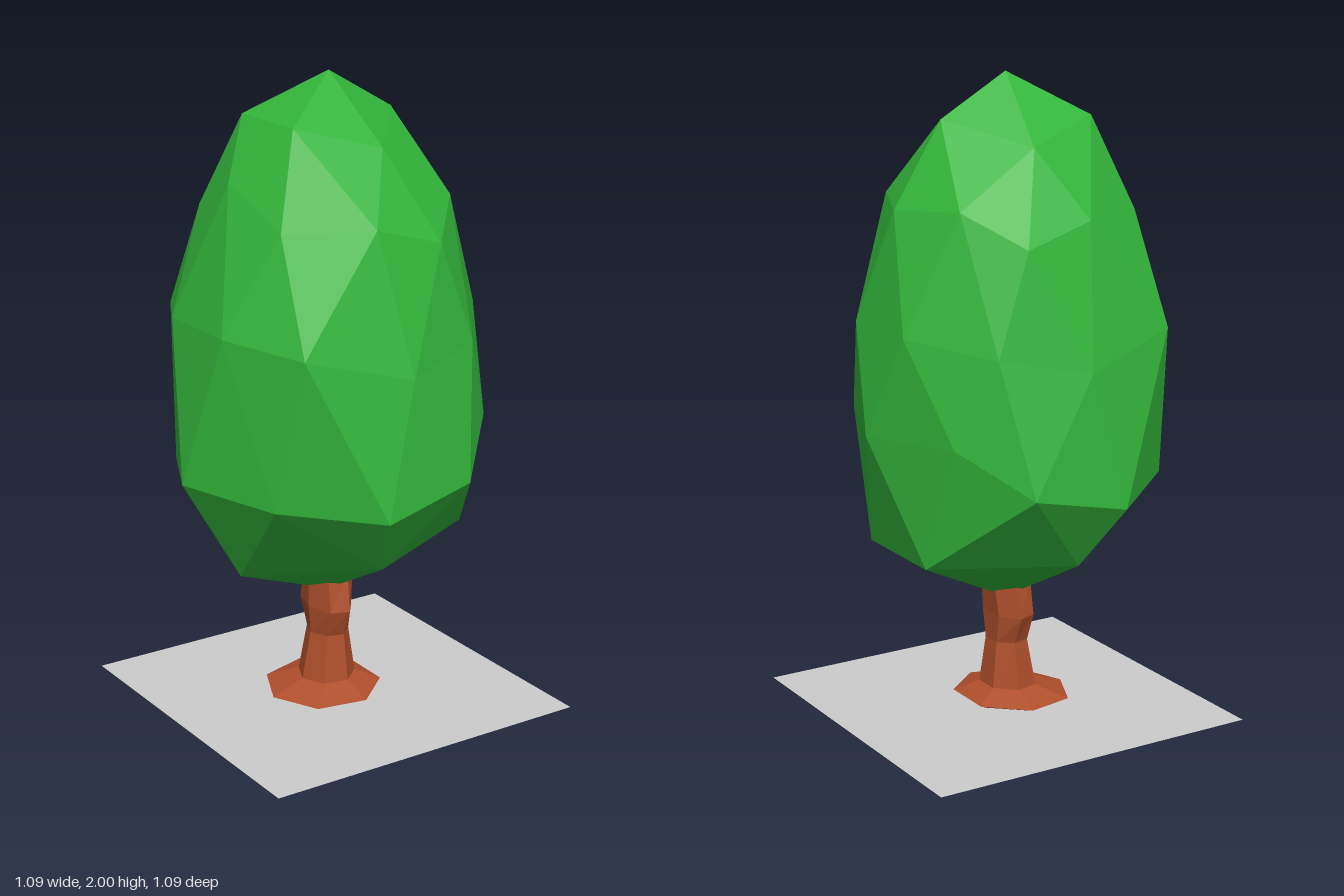
import * as THREE from 'three';

const leafGreen = new THREE.MeshStandardMaterial({ color: 0x33b53b, flatShading: true });
leafGreen.name = 'leaf green';
const barkBrown = new THREE.MeshStandardMaterial({ color: 0xaf4f2c, flatShading: true });
barkBrown.name = 'bark brown';
const groundGrey = new THREE.MeshStandardMaterial({ color: 0xcccccc, side: THREE.DoubleSide });
groundGrey.name = 'ground grey';

// Flat-shaded mesh from a list of triangles, each of three [x, y, z] corners
function facetedMesh(name, triangles, material) {
  const geometry = new THREE.BufferGeometry();
  geometry.setAttribute('position', new THREE.Float32BufferAttribute(triangles.flat(2), 3));
  geometry.computeVertexNormals();
  const mesh = new THREE.Mesh(geometry, material);
  mesh.name = name;
  return mesh;
}

// Closes a half ring by mirroring it in z; points on the centre line stay single
function mirrorRing(half) {
  const back = half.filter((p) => p[2] > 0).reverse().map(([x, y, z]) => [x, y, -z]);
  return [...half, ...back];
}

// Crown: a once-subdivided icosahedron pulled into an egg, as rings from top to bottom
function createCrown() {
  const top = [-0.01, 2, 0];
  const bottom = [-0.01, 0.345, 0];
  const r1 = mirrorRing([[0.215, 1.87, 0], [0.03, 1.8, 0.225], [-0.225, 1.87, 0.14]]);
  const r2 = mirrorRing([[0.375, 1.615, 0], [0.28, 1.63, 0.22], [0.14, 1.53, 0.37],
    [-0.08, 1.595, 0.36], [-0.325, 1.59, 0.23], [-0.36, 1.7, 0]]);
  const r3 = mirrorRing([[0.43, 1.26, 0.145], [0.25, 1.22, 0.385], [-0.02, 1.165, 0.47],
    [-0.345, 1.25, 0.385], [-0.475, 1.28, 0.145]]);
  const r4 = mirrorRing([[0.48, 0.94, 0], [0.355, 0.95, 0.31], [0.18, 0.81, 0.48],
    [-0.125, 0.745, 0.5], [-0.39, 0.77, 0.29], [-0.535, 0.8, 0]]);
  const r5 = mirrorRing([[0.375, 0.55, 0.17], [-0.05, 0.54, 0.355], [-0.335, 0.46, 0]]);

  const at = (ring, i) => ring[(i + ring.length) % ring.length];
  const tris = [];
  for (let i = 0; i < 5; i++) {
    const k = 2 * i;
    // top cap
    tris.push([top, at(r1, i + 1), at(r1, i)]);
    tris.push([at(r1, i), at(r2, k), at(r2, k - 1)], [at(r1, i), at(r2, k + 1), at(r2, k)]);
    tris.push([at(r1, i), at(r1, i + 1), at(r2, k + 1)]);
    // bottom cap
    tris.push([at(r4, k), at(r4, k + 1), at(r5, i)], [at(r4, k + 1), at(r4, k + 2), at(r5, i)]);
    tris.push([at(r4, k + 2), at(r5, i + 1), at(r5, i)]);
    tris.push([at(r5, i), at(r5, i + 1), bottom]);
  }
  // zigzag bands around the middle
  for (let i = 0; i < 10; i++) {
    tris.push([at(r2, i), at(r3, i), at(r3, i - 1)], [at(r2, i), at(r2, i + 1), at(r3, i)]);
    tris.push([at(r3, i), at(r4, i + 1), at(r4, i)], [at(r3, i), at(r3, i + 1), at(r4, i + 1)]);
  }
  return facetedMesh('crown', tris, leafGreen);
}

// Trunk: seven-sided rings with a flat face towards +x and a flared, slightly tilted root
function createTrunk() {
  const sides = 7;
  // height, centre x, radius in x, radius in z, tilt
  const sections = [
    [0.008, -0.03, 0.14, 0.145, 0.02], [0.025, -0.035, 0.185, 0.195, 0.03],
    [0.06, -0.02, 0.09, 0.097, 0.03], [0.21, -0.015, 0.064, 0.075, 0],
    [0.3, -0.018, 0.068, 0.112, 0], [0.42, -0.012, 0.075, 0.088, 0],
  ];
  const rings = sections.map(([y, cx, rx, rz, tilt]) => Array.from({ length: sides }, (_, i) => {
    const a = ((i + 0.5) / sides) * Math.PI * 2;
    const x = cx + rx * Math.cos(a);
    return [x, y + tilt * x, rz * Math.sin(a)];
  }));
  const tris = [];
  for (let i = 0; i < sides; i++) {
    const j = (i + 1) % sides;
    for (let s = 0; s < rings.length - 1; s++) {
      const low = rings[s];
      const high = rings[s + 1];
      tris.push([high[i], high[j], low[j]], [high[i], low[j], low[i]]);
    }
    tris.push([rings[0][i], rings[0][j], [-0.03, 0.008, 0]]);
    tris.push([rings[5][j], rings[5][i], [-0.012, 0.42, 0]]);
  }
  return facetedMesh('trunk', tris, barkBrown);
}

export function createModel() {
  const model = new THREE.Group();
  model.name = 'tree';

  // Square base sheet under the tree
  const base = new THREE.Mesh(new THREE.PlaneGeometry(1.09, 1.09).rotateX(-Math.PI / 2), groundGrey);
  base.name = 'baseSheet';

  model.add(createCrown(), createTrunk(), base);
  return model;
}
